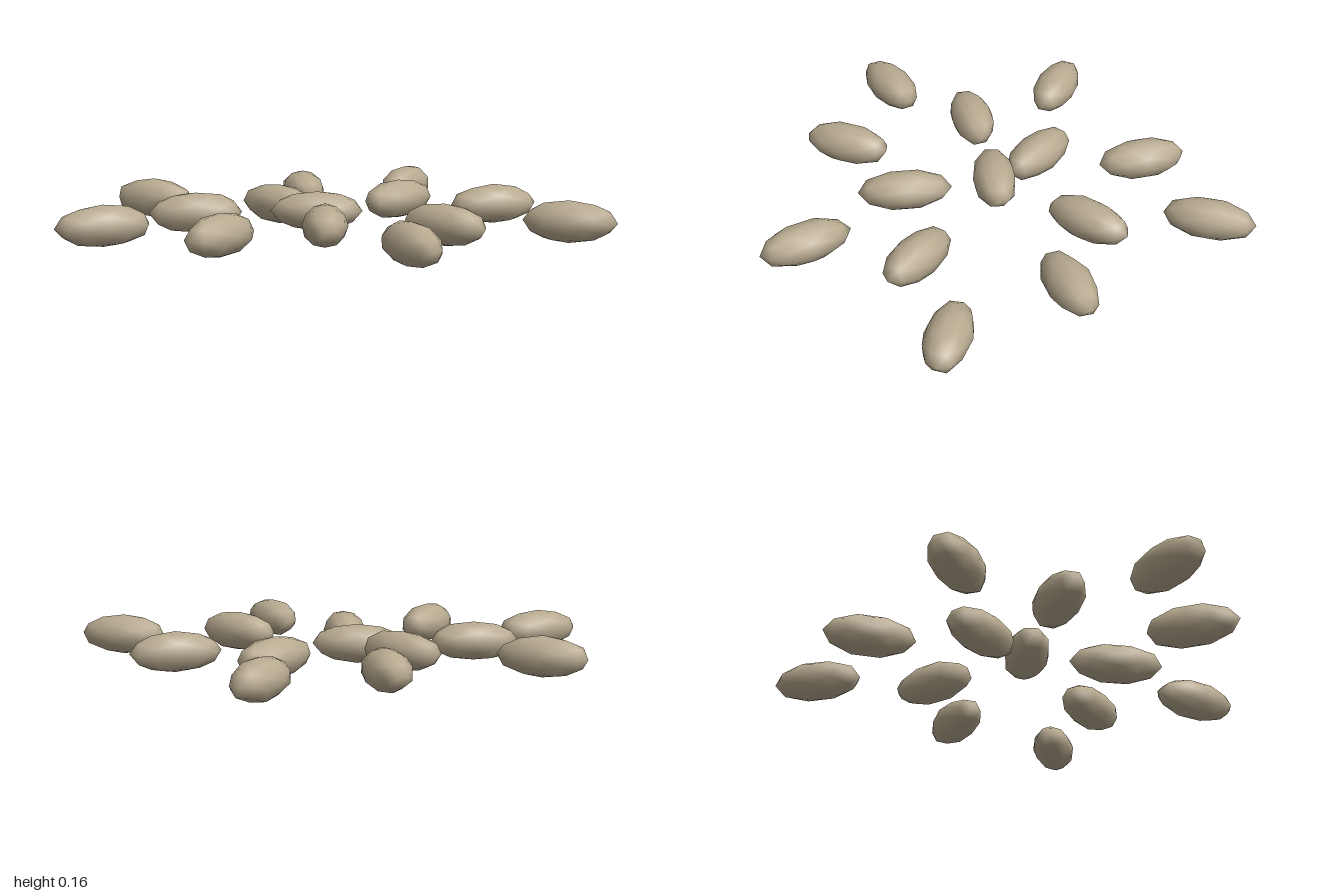
import * as THREE from 'three';
import { mergeVertices } from 'three/addons/utils/BufferGeometryUtils.js';

// Small seeded generator for the uneven surface of the grains
function seeded(seed) {
  let s = seed;
  return () => (s = (s * 16807) % 2147483647) / 2147483647;
}

// One elongated grain along x, slightly irregular, smooth shaded
function grainGeometry(seed) {
  const base = new THREE.IcosahedronGeometry(1, 1);
  base.deleteAttribute('uv');
  base.deleteAttribute('normal');
  const geo = mergeVertices(base, 1e-3);
  const random = seeded(seed);
  for (let i = 0; i < 5; i++) random();
  const pos = geo.attributes.position;
  for (let i = 0; i < pos.count; i++) {
    const k = 0.96 + 0.07 * random();
    pos.setXYZ(i, pos.getX(i) * k * 0.177, pos.getY(i) * k * 0.077, pos.getZ(i) * k * 0.085);
  }
  geo.computeVertexNormals();
  return geo;
}

// Scattered grains: x, z, and turn in degrees (positive swings the +x tip to the back)
const GRAINS = [
  [0.18, -0.75, 72], [-0.24, -0.545, -76], [-0.805, -0.24, -24], [-0.29, -0.135, -39],
  [0.17, -0.3, 51], [0.55, -0.2, 21], [-0.12, 0.045, 3], [-0.57, 0.125, 13],
  [-0.845, 0.465, 30], [-0.395, 0.625, 65], [-0.055, 0.39, -85], [0.27, 0.75, -63],
  [0.37, 0.34, -35], [0.82, 0.23, -13],
];

export function createModel() {
  const group = new THREE.Group();
  group.name = 'scatteredGrains';
  const husk = new THREE.MeshStandardMaterial({ color: 0xb8aa90 });
  husk.name = 'paleHusk';
  GRAINS.forEach(([x, z, turn], i) => {
    const grain = new THREE.Mesh(grainGeometry(101 + i * 7919), husk);
    grain.name = `grain${i + 1}`;
    grain.position.set(x, 0.083, z);
    grain.rotation.y = THREE.MathUtils.degToRad(turn);
    group.add(grain);
  });
  return group;
}
